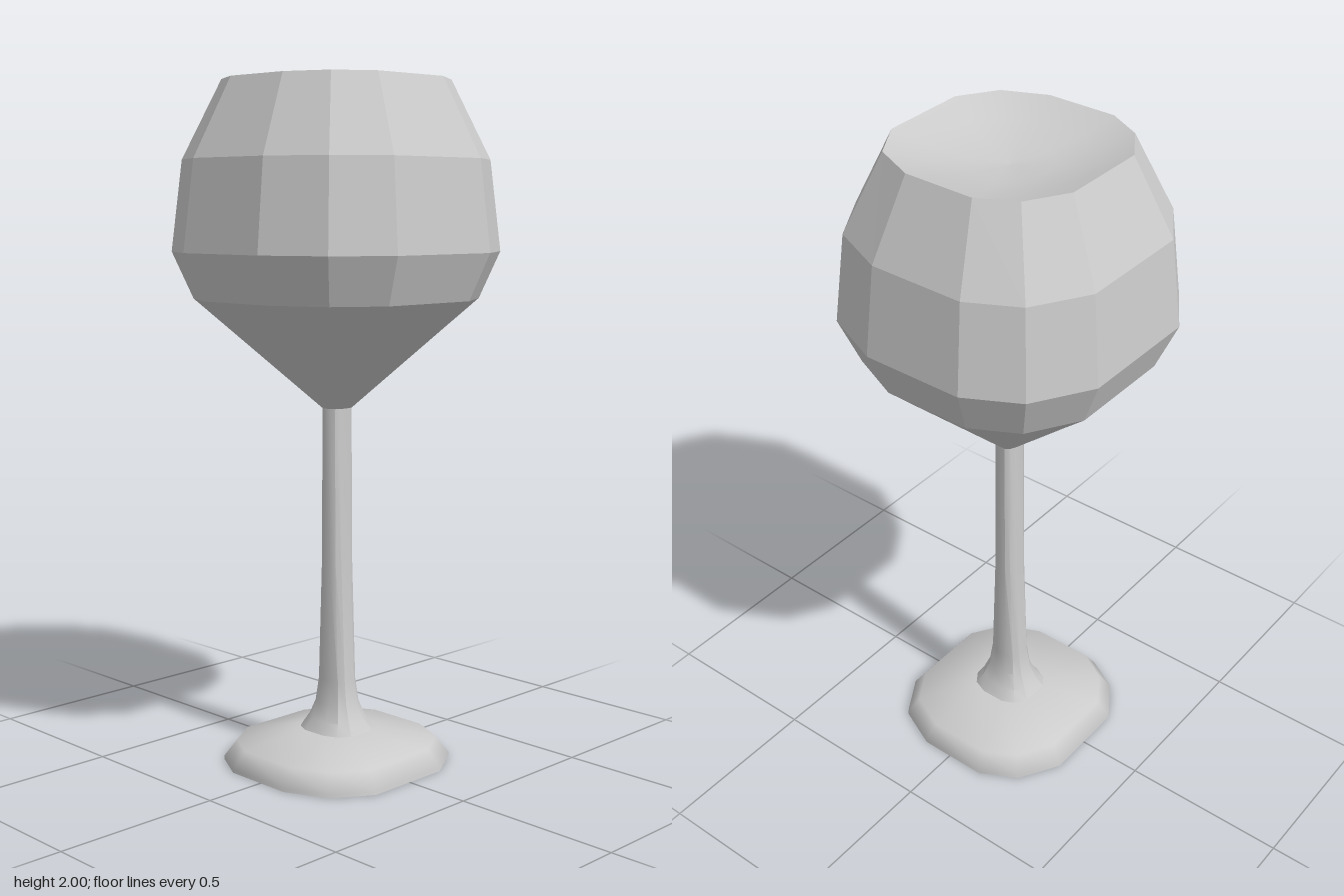
import * as THREE from 'three';
import { toCreasedNormals } from 'three/addons/utils/BufferGeometryUtils.js';

// Twelve-sided, slightly squared outline shared by every ring (x, z at full size 1)
const OUTLINE = [
  [1, 0.32], [0.81, 0.75], [0.42, 0.99], [-0.45, 0.99], [-0.81, 0.75], [-1, 0.32],
  [-1, -0.4], [-0.81, -0.76], [-0.45, -1], [0.42, -1], [0.81, -0.76], [1, -0.4],
];
const N = OUTLINE.length;

// Skins rings of [y, halfWidthX, halfDepthZ]; a ring of width 0 closes to a point
function loft(rings) {
  const pos = [];
  const index = [];
  for (const [y, rx, rz] of rings) {
    for (const [x, z] of OUTLINE) pos.push(x * rx, y, z * rz);
  }
  for (let r = 0; r < rings.length - 1; r++) {
    for (let i = 0; i < N; i++) {
      const j = (i + 1) % N;
      const a = r * N + i, b = r * N + j, c = a + N, d = b + N;
      if (rings[r + 1][1] > 0) index.push(a, c, d);
      if (rings[r][1] > 0) index.push(a, d, b);
    }
  }
  const geo = new THREE.BufferGeometry();
  geo.setAttribute('position', new THREE.Float32BufferAttribute(pos, 3));
  geo.setIndex(index);
  geo.computeVertexNormals();
  return geo;
}

export function createModel() {
  const group = new THREE.Group();
  const add = (name, geometry, flatShading = false) => {
    const material = new THREE.MeshStandardMaterial({ color: 0xcccccc, flatShading });
    const mesh = new THREE.Mesh(geometry, material);
    mesh.name = name;
    group.add(mesh);
  };

  // Foot: flat underside, chamfered edge and gently domed top
  add('foot', toCreasedNormals(loft([
    [0, 0, 0], [0, 0.31, 0.3], [0.01, 0.31, 0.3],
    [0.06, 0.275, 0.265], [0.098, 0.095, 0.105], [0.1, 0, 0],
  ]), 0.9));

  // Stem: flares into the foot, deeper than wide near the bottom
  add('stem', toCreasedNormals(loft([
    [0.095, 0.096, 0.105], [0.13, 0.072, 0.083], [0.18, 0.053, 0.063],
    [0.25, 0.045, 0.053], [0.6, 0.043, 0.038], [1.07, 0.042, 0.034],
  ]), 0.5));

  // Bowl: faceted outside
  add('bowl', loft([
    [1.06, 0, 0], [1.062, 0.043, 0.036], [1.3, 0.292, 0.285], [1.38, 0.375, 0.37],
    [1.515, 0.43, 0.425], [1.775, 0.4, 0.397], [2, 0.297, 0.293],
  ]), true);

  // Hollow: shallow, smooth dish closing the bowl at the rim
  add('hollow', loft([
    [2, 0.297, 0.293], [1.967, 0.21, 0.207], [1.945, 0.11, 0.108], [1.938, 0, 0],
  ]));

  return group;
}
